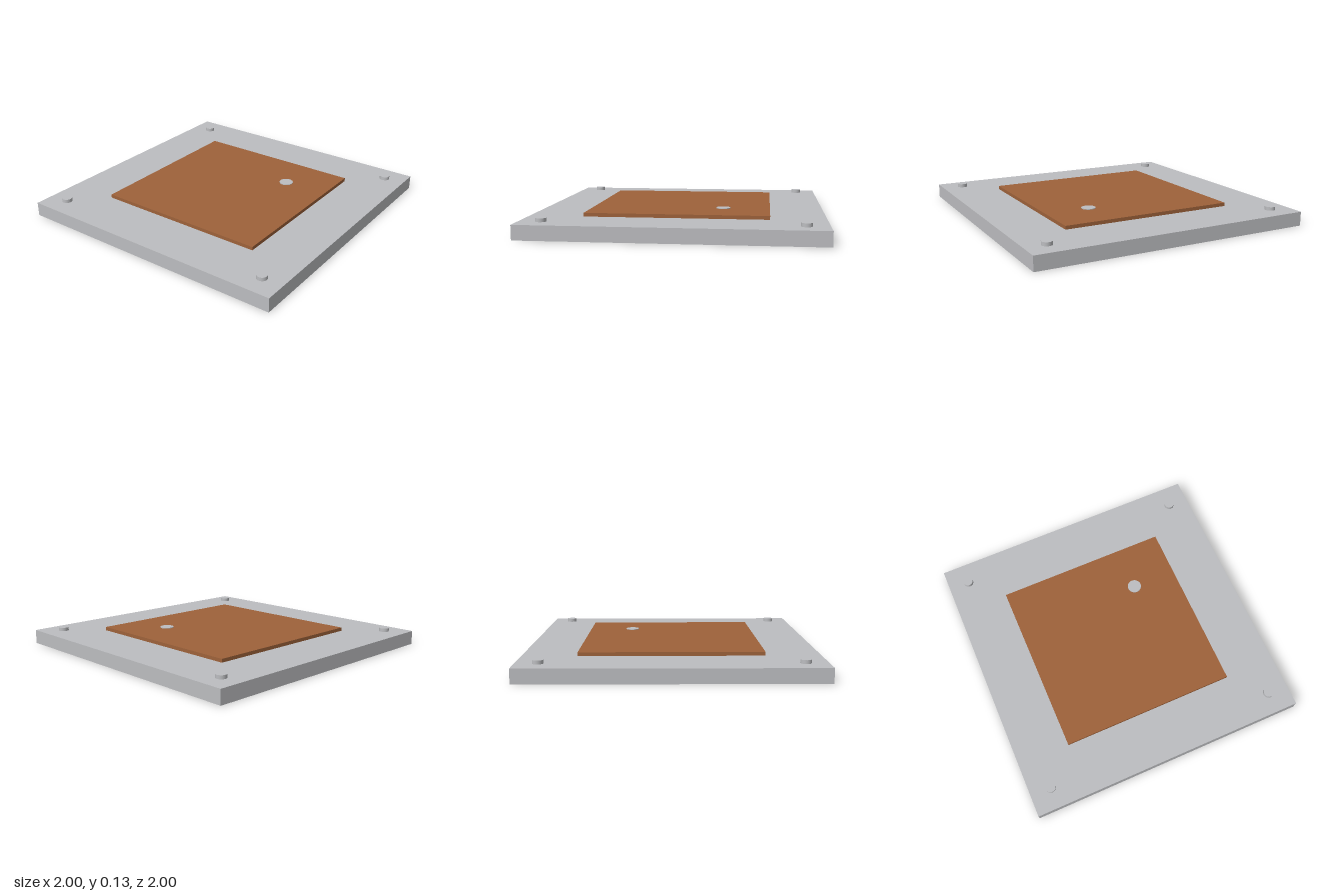
import * as THREE from 'three';

export function createModel() {
  const group = new THREE.Group();
  const metal = new THREE.MeshStandardMaterial({ name: 'grey metal', color: 0xbcbdc0 });
  const copper = new THREE.MeshStandardMaterial({ name: 'copper brown', color: 0x9e623a });

  // Adds a part whose underside rests at the given height
  function add(name, geometry, material, x, bottom, z, height) {
    const mesh = new THREE.Mesh(geometry, material);
    mesh.name = name;
    mesh.position.set(x, bottom + height / 2, z);
    group.add(mesh);
  }

  // Square base and the raised panel on it
  add('basePlate', new THREE.BoxGeometry(2, 0.1, 2), metal, 0, 0, 0, 0.1);
  add('panel', new THREE.BoxGeometry(1.25, 0.025, 1.25), copper, 0, 0.1, 0, 0.025);

  // Thin contact disc on the panel
  add('contactDisc', new THREE.CylinderGeometry(0.05, 0.05, 0.005, 32), metal, 0.3, 0.125, -0.3, 0.005);

  // Corner studs
  const stud = new THREE.CylinderGeometry(0.036, 0.036, 0.025, 32);
  for (const x of [-0.85, 0.85]) {
    for (const z of [-0.85, 0.85]) add('cornerStud', stud, metal, x, 0.1, z, 0.025);
  }
  return group;
}
